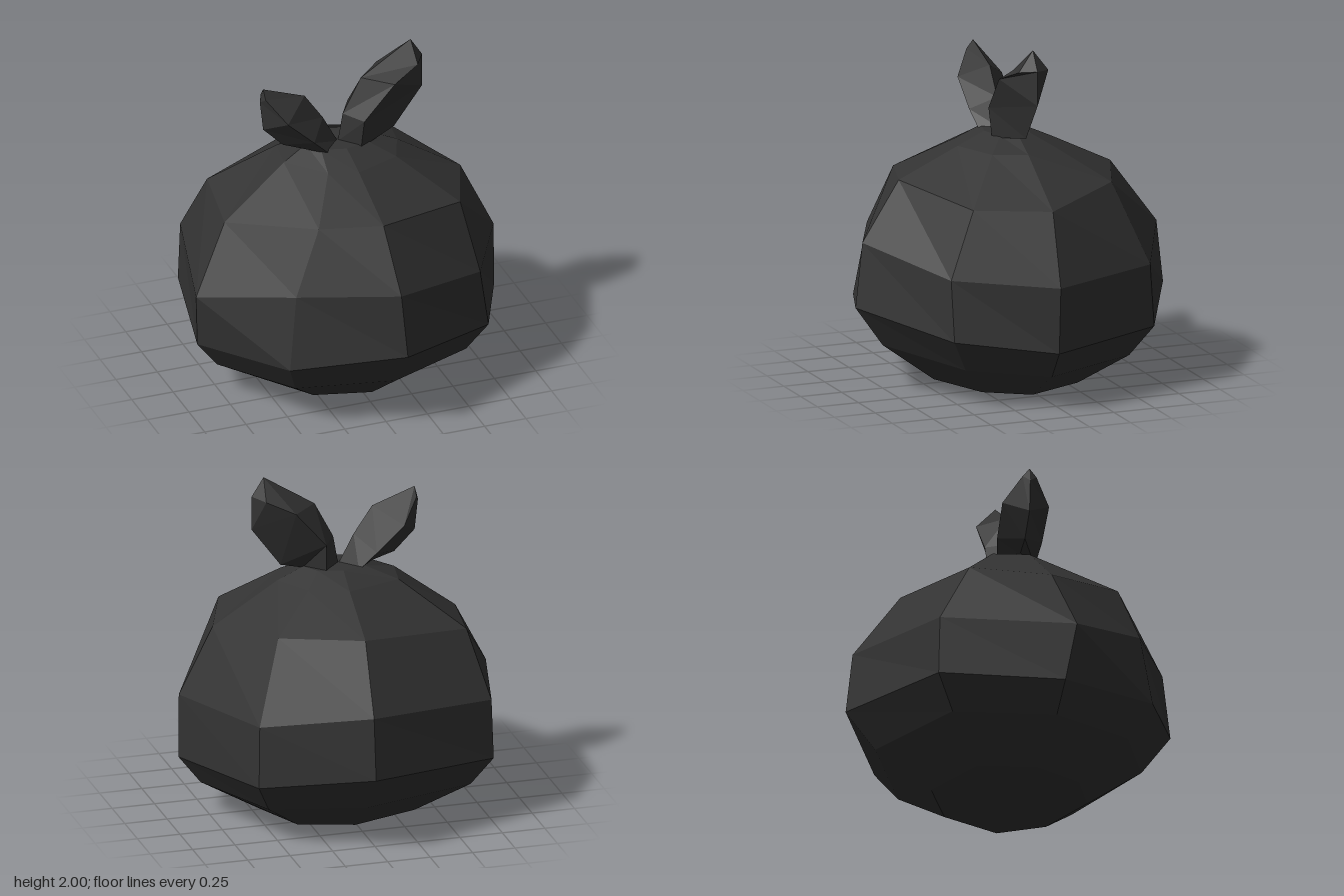
import * as THREE from 'three';

// Faceted solid through a stack of closed rings, capped at both ends
function loft(rings, material, name) {
  const n = rings[0].length, tris = [];
  for (let r = 0; r < rings.length - 1; r++) {
    for (let i = 0; i < n; i++) {
      const j = (i + 1) % n;
      const a = rings[r][i], b = rings[r][j], c = rings[r + 1][j], d = rings[r + 1][i];
      tris.push([a, b, c], [a, c, d]);
    }
  }
  const first = rings[0], last = rings[rings.length - 1];
  for (let i = 1; i < n - 1; i++) {
    tris.push([first[0], first[i + 1], first[i]], [last[0], last[i], last[i + 1]]);
  }
  // Turn the faces outwards if the rings run the other way
  let volume = 0;
  for (const [a, b, c] of tris) volume += a.dot(b.clone().cross(c));
  if (volume < 0) tris.forEach((t) => t.reverse());
  const geometry = new THREE.BufferGeometry().setFromPoints(tris.flat());
  geometry.computeVertexNormals();
  const mesh = new THREE.Mesh(geometry, material);
  mesh.name = name;
  return mesh;
}

const V = (x, y, z) => new THREE.Vector3(x, y, z);

// Body columns: x, z, y at the lower bulge, the belly and the shoulder
const COLUMNS = [
  [0.92, 0.05, 0.35, 0.92, 0.04, 0.73, 0.73, 0.01, 1.13],
  [0.68, 0.59, 0.41, 0.63, 0.59, 0.76, 0.57, 0.43, 1.14],
  [0.06, 0.94, 0.50, 0.04, 0.89, 0.87, 0.02, 0.66, 1.21],
  [-0.56, 0.70, 0.41, -0.50, 0.64, 0.84, -0.33, 0.55, 1.20],
  [-0.90, 0.12, 0.35, -0.93, 0.18, 0.69, -0.72, 0.08, 1.08],
  [-0.75, -0.58, 0.39, -0.74, -0.57, 0.74, -0.65, -0.38, 1.11],
  [0.05, -0.94, 0.47, 0.05, -0.90, 0.83, 0.02, -0.63, 1.20],
  [0.65, -0.64, 0.38, 0.64, -0.62, 0.74, 0.48, -0.45, 1.20],
];

// Knot leaves: upper edge x, y; side corner x, y, half depth; lower edge x, y
const LEFT_LEAF = [
  [-0.01, 1.43, 0.09, 1.42, 0.11, 0.20, 1.43],
  [0.02, 1.60, 0.10, 1.60, 0.135, 0.33, 1.46],
  [0.13, 1.81, 0.28, 1.81, 0.145, 0.50, 1.69],
  [0.43, 2.00, 0.44, 1.88, 0.09, 0.50, 1.89],
];
const RIGHT_LEAF = [
  [-0.01, 1.43, -0.10, 1.42, 0.11, -0.21, 1.43],
  [-0.10, 1.60, -0.20, 1.52, 0.13, -0.34, 1.47],
  [-0.21, 1.76, -0.36, 1.67, 0.135, -0.46, 1.59],
  [-0.46, 1.85, -0.46, 1.80, 0.04, -0.48, 1.77],
];

export function createModel() {
  const group = new THREE.Group();
  group.name = 'tiedSack';
  const cloth = new THREE.MeshStandardMaterial({ color: 0x333333, flatShading: true });
  cloth.name = 'charcoal cloth';

  // Sagging eight-sided body, from the flat base to the neck
  const columns = COLUMNS.map(([x2, z2, y2, x3, z3, y3, x4, z4, y4], i) => {
    const angle = (i * Math.PI) / 4;
    return [
      V(x2 * 0.5, Math.max(0, (y2 - 0.35) * 0.2), z2 * 0.48),
      V(x2 * 0.86, y2 * 0.53, z2 * 0.82),
      V(x2, y2, z2),
      V(x3, y3, z3),
      V(x4, y4, z4),
      V(x4 * 0.48, 1.37, z4 * 0.45),
      V(Math.cos(angle) * 0.2, 1.44, Math.sin(angle) * 0.13),
    ];
  });
  const rings = columns[0].map((_, r) => columns.map((c) => c[r]));
  group.add(loft(rings, cloth, 'body'));

  // Two diamond-section leaves of the knot
  const leaf = (rows, name) => {
    const sections = rows.map(([tx, ty, mx, my, depth, bx, by]) => [
      V(tx, ty, 0.01), V(mx, my, 0.01 + depth), V(bx, by, 0.01), V(mx, my, 0.01 - depth),
    ]);
    group.add(loft(sections, cloth, name));
  };
  leaf(LEFT_LEAF, 'leftKnotLeaf');
  leaf(RIGHT_LEAF, 'rightKnotLeaf');
  return group;
}
